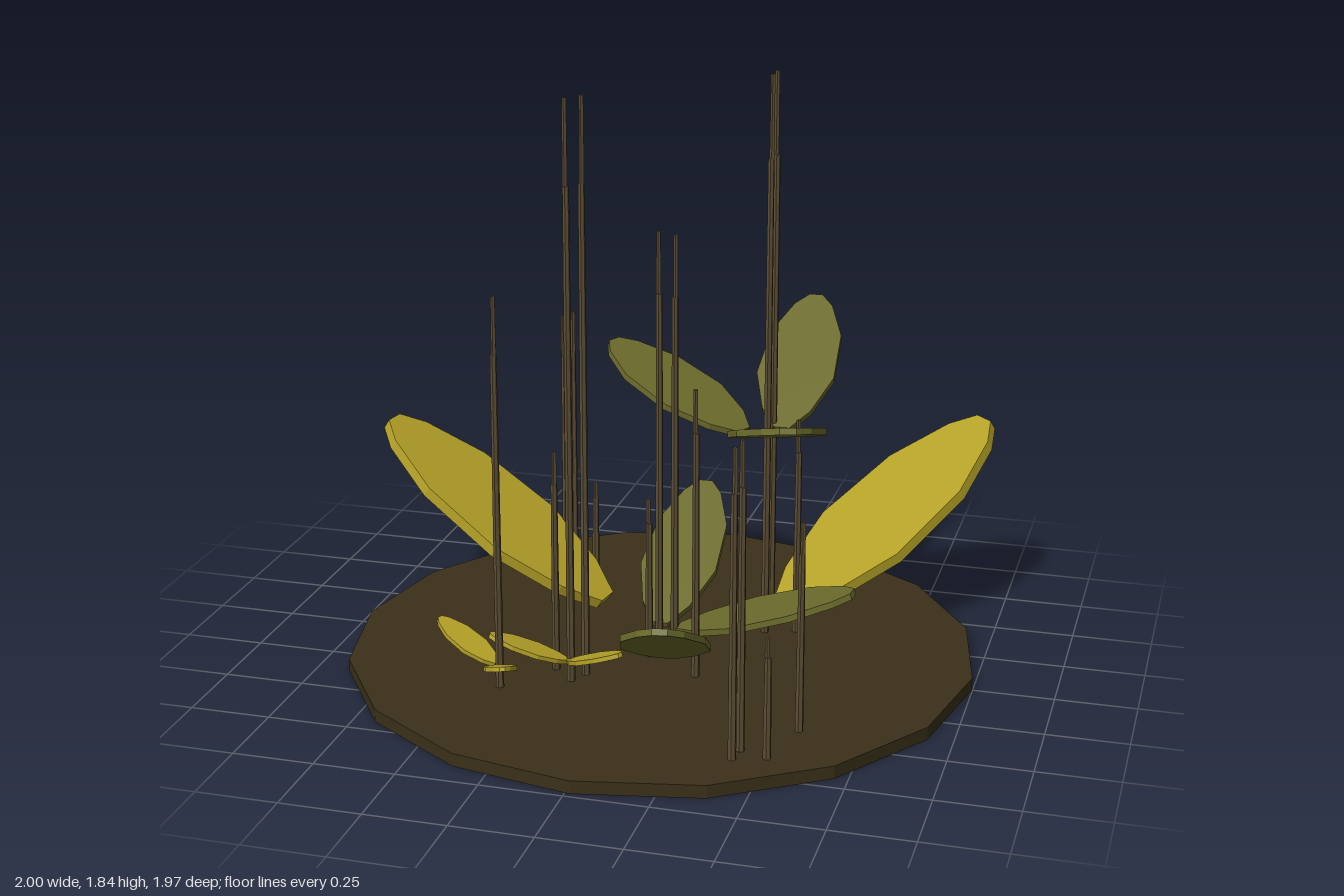
import * as THREE from 'three';

const mat = (color) => new THREE.MeshStandardMaterial({ color, flatShading: true });
const soil = mat(0x3a3019), bark = mat(0x5c4d33), green = mat(0x6b6b2c), yellow = mat(0xb5a227);

// Half-outline of a leaf: [position along length, fraction of half width]
const PROFILE = [[0, 0.2], [0.13, 0.62], [0.38, 1], [0.7, 0.92], [0.92, 0.5], [1, 0.17]];

// Flat leaf slab running from base to tip, with its width kept level
function leaf(name, material, base, tip, halfWidth, thickness) {
  const a = new THREE.Vector3(...base), b = new THREE.Vector3(...tip);
  const length = a.distanceTo(b);
  const right = PROFILE.map(([t, w]) => new THREE.Vector2(t * length, -w * halfWidth));
  const left = PROFILE.map(([t, w]) => new THREE.Vector2(t * length, w * halfWidth)).reverse();
  const geo = new THREE.ExtrudeGeometry(new THREE.Shape([...right, ...left]), { depth: thickness, bevelEnabled: false });
  geo.translate(0, 0, -thickness / 2);
  const along = b.clone().sub(a).normalize();
  const side = new THREE.Vector3(0, 1, 0).cross(along).normalize();
  const normal = along.clone().cross(side);
  geo.applyMatrix4(new THREE.Matrix4().makeBasis(along, side, normal).setPosition(a));
  const mesh = new THREE.Mesh(geo, material);
  mesh.name = name;
  return mesh;
}

// Thin tapering stalk with a narrower, slightly shifted tip
function stalk(x, z, h, i) {
  const g = new THREE.Group();
  g.name = 'stalk';
  const split = 0.86 * h, shift = i % 2 ? 0.003 : -0.003;
  const lower = new THREE.Mesh(new THREE.CylinderGeometry(0.01, 0.013, split, 6), bark);
  lower.name = 'stalkLower';
  lower.position.y = split / 2;
  const upper = new THREE.Mesh(new THREE.CylinderGeometry(0.007, 0.008, h - split, 5), bark);
  upper.name = 'stalkTip';
  upper.position.set(shift, (h + split) / 2, shift);
  g.add(lower, upper);
  g.position.set(x, 0, z);
  return g;
}

export function createModel() {
  const model = new THREE.Group();
  model.name = 'plantPatch';

  // Ground disc
  const disc = new THREE.Mesh(new THREE.CylinderGeometry(0.983, 0.983, 0.04, 16), soil);
  disc.name = 'groundDisc';
  disc.position.set(0.015, 0.02, 0);
  model.add(disc);

  // Stalks: x, z, height; mostly in clumps of three
  [
    [0.005, 0, 1.38], [0.06, 0.02, 1.38], [0, 0.1, 0.56],
    [-0.15, 0.285, 1.84], [-0.18, 0.34, 1.84], [-0.25, 0.27, 0.75],
    [0.31, -0.24, 1.84], [0.305, -0.18, 1.84], [0.4, -0.21, 0.75],
    [-0.41, -0.44, 0.98], [-0.42, -0.38, 0.98], [-0.325, -0.405, 0.41],
    [0.43, 0.67, 0.98], [0.42, 0.73, 0.98], [0.515, 0.7, 0.41],
    [-0.375, 0.44, 1.27], [0.177, 0.21, 0.96], [0.565, 0.5, 0.69],
  ].forEach(([x, z, h], i) => model.add(stalk(x, z, h, i)));

  // Leaves: base, tip, half width, thickness
  const leaves = {
    upperLeaf: [green, 0.02, [
      [[0.34, 0.71, -0.225], [0.335, 1.0, -0.75], 0.125],
      [[0.23, 0.71, -0.17], [-0.255, 0.905, -0.385], 0.14],
      [[0.31, 0.71, -0.165], [0.485, 0.905, 0.35], 0.145],
    ]],
    lowerLeaf: [green, 0.02, [
      [[0.005, 0.1, -0.01], [0.01, 0.38, -0.575], 0.125],
      [[0.07, 0.1, 0], [0.63, 0.295, 0.045], 0.135],
      [[0.09, 0.095, 0.2], [0.2, 0.395, 0.705], 0.135],
    ]],
    largeYellowLeaf: [yellow, 0.035, [
      [[0.35, 0.1, -0.24], [0.905, 0.605, -0.785], 0.215],
      [[-0.22, 0.1, -0.155], [-0.985, 0.605, -0.275], 0.205],
    ]],
    smallYellowLeaf: [yellow, 0.014, [
      [[-0.39, 0.105, 0.425], [-0.605, 0.195, 0.335], 0.05],
      [[-0.19, 0.105, 0.345], [-0.415, 0.195, 0.415], 0.05],
      [[-0.375, 0.105, 0.445], [-0.295, 0.195, 0.645], 0.05],
      [[-0.185, 0.105, 0.345], [0.01, 0.195, 0.455], 0.05],
    ]],
  };
  for (const [name, [material, thickness, list]] of Object.entries(leaves))
    for (const [base, tip, halfWidth] of list)
      model.add(leaf(name, material, base, tip, halfWidth, thickness));

  return model;
}
